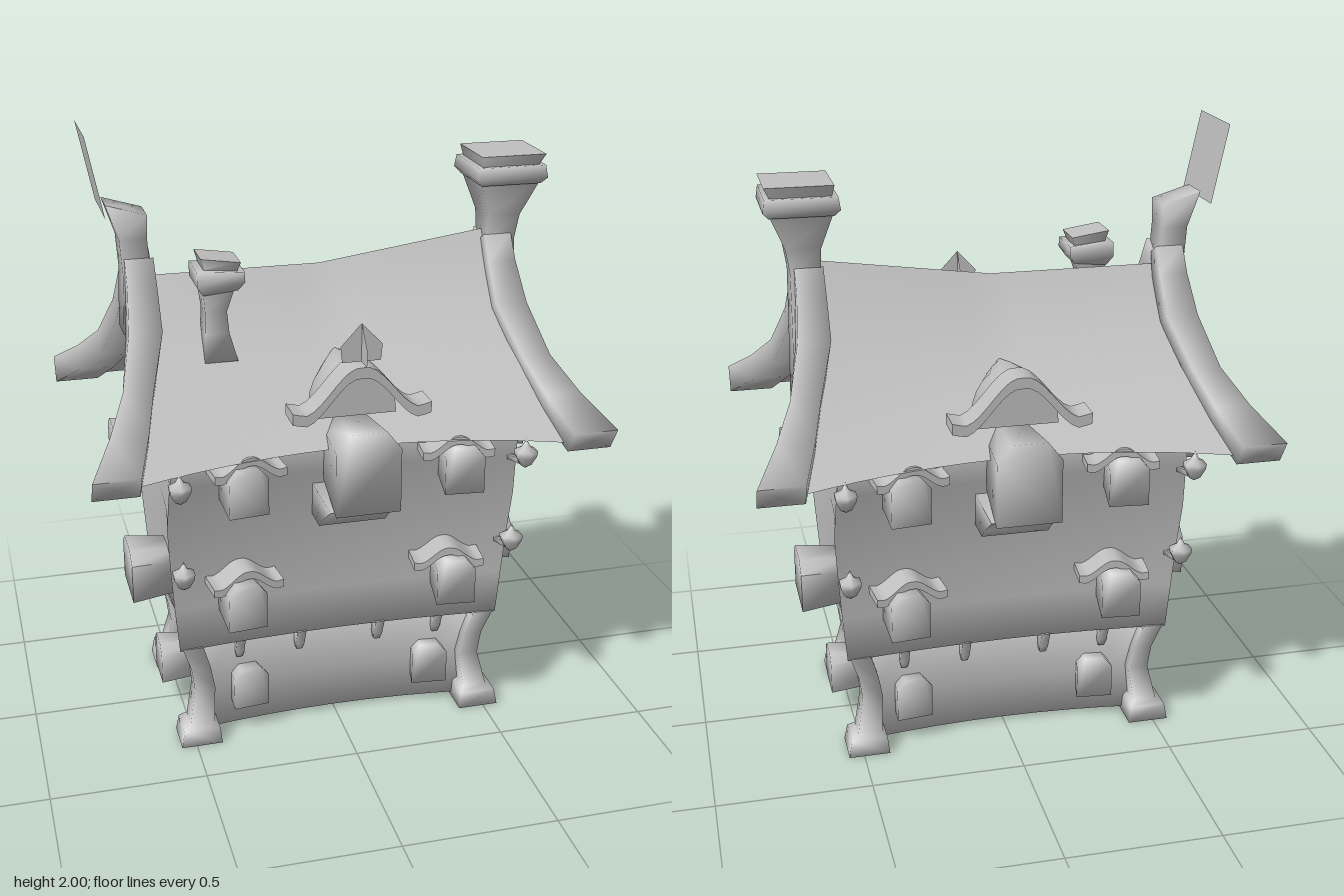
import * as THREE from 'three';
import { toCreasedNormals } from 'three/addons/utils/BufferGeometryUtils.js';

const stone = new THREE.MeshStandardMaterial({ color: 0xbfbfbf, side: THREE.DoubleSide });
stone.name = 'pale grey';

// Skin a list of equal-length rings of [x, y, z]; closed tubes get end caps
function loft(rings, closed = true) {
  const n = rings[0].length, pos = rings.flat(2), idx = [];
  for (let i = 0; i < rings.length - 1; i++)
    for (let j = 0; j < (closed ? n : n - 1); j++) {
      const a = i * n + j, b = i * n + (j + 1) % n;
      idx.push(a, b, b + n, a, b + n, a + n);
    }
  if (closed) [0, rings.length - 1].forEach((r) => {
    const c = pos.length / 3;
    pos.push(...[0, 1, 2].map((k) => rings[r].reduce((s, p) => s + p[k], 0) / n));
    for (let j = 0; j < n; j++) {
      const a = r * n + j, b = r * n + (j + 1) % n;
      idx.push(...(r ? [a, b, c] : [b, a, c]));
    }
  });
  const g = new THREE.BufferGeometry();
  g.setAttribute('position', new THREE.Float32BufferAttribute(pos, 3));
  g.setIndex(idx);
  return g.toNonIndexed();
}

// Stack of rectangles [y, cx, cz, halfX, halfZ, tilt]; bow pulls the sides inward
function stack(levels, bow = 0) {
  const n = bow ? 8 : 1, corners = [[1, 1], [1, -1], [-1, -1], [-1, 1]];
  return loft(levels.map(([y, cx, cz, hx, hz, tilt = 0]) => {
    const ring = [];
    corners.forEach(([x, z], s) => {
      const [x2, z2] = corners[(s + 1) % 4];
      for (let k = 0; k < n; k++) {
        const t = k / n, pull = bow * 4 * t * (1 - t);
        const px = x + (x2 - x) * t, pz = z + (z2 - z) * t;
        const ix = x === x2 ? pull * x : 0, iz = z === z2 ? Math.min(pull, hz * 0.4) * z : 0;
        ring.push([cx + px * hx - ix, y + tilt * px * hx, cz + pz * hz - iz]);
      }
    });
    return ring;
  }));
}

// Bake a mirror image, keeping faces outward
function mirrored(geo, sx, sz) {
  const g = (geo.index ? geo.toNonIndexed() : geo.clone()).scale(sx, 1, sz);
  if (sx * sz < 0) {
    const p = g.attributes.position, a = new THREE.Vector3(), b = new THREE.Vector3();
    for (let i = 0; i < p.count; i += 3) {
      a.fromBufferAttribute(p, i + 1);
      b.fromBufferAttribute(p, i + 2);
      p.setXYZ(i + 1, b.x, b.y, b.z);
      p.setXYZ(i + 2, a.x, a.y, a.z);
    }
  }
  return g;
}

// Arched window block, flaring outward to its front at z = 0
function windowBlock(w, h, d) {
  const s = new THREE.Shape([[-w, 0], [w, 0], [w, 0.78 * h], [0.55 * w, h], [-0.55 * w, h], [-w, 0.78 * h]]
    .map((p) => new THREE.Vector2(...p)));
  const g = new THREE.ExtrudeGeometry(s, { depth: d, bevelEnabled: false }).translate(0, 0, -d);
  const p = g.attributes.position;
  for (let i = 0; i < p.count; i++) if (p.getZ(i) < -d / 2) {
    p.setX(i, p.getX(i) * 0.78);
    p.setY(i, h / 2 + (p.getY(i) - h / 2) * 0.84);
  }
  return g;
}

// Domed hood band with flared tips
function hood(w, h, t, d) {
  const top = [], under = [];
  for (let i = 0; i <= 20; i++) {
    const u = i / 10 - 1, a = Math.abs(u);
    const y = h * (1 - THREE.MathUtils.smoothstep(a, 0.05, 0.85) + 0.4 * Math.max(0, a - 0.8));
    top.push(new THREE.Vector2(u * w, y + t));
    under.unshift(new THREE.Vector2(u * w, y));
  }
  return new THREE.ExtrudeGeometry(new THREE.Shape([...top, ...under]), { depth: d, bevelEnabled: false });
}

export function createModel() {
  const model = new THREE.Group();
  const add = (name, geo, crease = 1.7) => {
    geo.deleteAttribute('uv');
    const m = new THREE.Mesh(toCreasedNormals(geo, crease), stone);
    m.name = name;
    model.add(m);
  };
  const sides = [1, -1];
  const four = (name, geo, shift = 0, crease = 1.7) =>
    sides.forEach((x) => sides.forEach((z) => add(name, mirrored(geo, x, z).translate(shift, 0, 0), crease)));

  // Walls
  add('groundFloor', stack([[0.01, 0, 0, 0.47, 0.24], [0.15, 0, 0, 0.465, 0.235], [0.35, 0, 0, 0.5, 0.26]], 0.035));
  add('upperFloors', stack([[0.345, 0, 0, 0.54, 0.295], [0.5, 0, 0, 0.553, 0.297], [0.65, 0, 0, 0.563, 0.305],
    [0.8, 0, 0, 0.572, 0.325], [0.95, 0, 0, 0.565, 0.355], [1.08, 0, 0, 0.555, 0.39], [1.18, 0, 0, 0.55, 0.28],
    [1.28, 0, 0, 0.545, 0.18], [1.4, 0, 0, 0.545, 0.085], [1.5, 0, 0, 0.545, 0.02]], 0.03));

  // Sweeping roof with a sagging ridge
  const slope = [[0, 0], [0.08, 0.12], [0.17, 0.24], [0.29, 0.385], [0.42, 0.52], [0.6, 0.685], [0.8, 0.85], [1, 1]];
  const profile = [...slope.slice(1).reverse().map(([z, y]) => [-z, y]), ...slope];
  const rings = [];
  for (let i = 0; i <= 16; i++) {
    const u = i / 8 - 1, ridge = 1.53 + (u > 0 ? 0.08 * u : 0), eave = 1.065 - 0.03 * u * u;
    rings.push(profile.map(([z, d]) =>
      [u * (0.575 + 0.11 * d * d), ridge + (eave - ridge) * d, z * (0.43 + 0.07 * u * u)]));
  }
  add('roof', loft(rings, false));

  // Gable beams
  const beam = loft([[0.745, 1.05, 0.535, 0.072, 0.045], [0.685, 1.135, 0.4, 0.058, 0.043], [0.638, 1.225, 0.28, 0.047, 0.042],
    [0.592, 1.38, 0.145, 0.052, 0.045], [0.585, 1.5, 0.065, 0.046, 0.042], [0.585, 1.585, 0.025, 0.045, 0.03]]
    .map(([x, y, z, hx, t], i) => {
      const a = i < 3 ? 0.85 : 0.5, ny = t * a, nz = t * Math.sqrt(1 - a * a);
      return [[x + hx, y + ny, z + nz], [x + hx, y - ny, z - nz], [x - hx, y - ny, z - nz], [x - hx, y + ny, z + nz]];
    }));
  four('gableBeam', beam);

  // Chimneys
  add('largeChimney', stack([[1.13, 0.59, 0, 0.06, 0.068], [1.4, 0.59, 0, 0.055, 0.06], [1.58, 0.595, 0, 0.048, 0.05],
    [1.66, 0.6, 0, 0.055, 0.058], [1.77, 0.605, 0, 0.095, 0.095]]));
  add('largeChimneyCap', stack([[1.77, 0.605, 0, 0.1, 0.1], [1.79, 0.605, 0, 0.118, 0.115], [1.83, 0.605, 0, 0.112, 0.11],
    [1.83, 0.605, 0, 0.095, 0.095], [1.865, 0.61, 0, 0.107, 0.107]]));
  add('smallChimney', stack([[1.29, -0.36, 0.14, 0.052, 0.05], [1.38, -0.37, 0.14, 0.038, 0.04],
    [1.45, -0.372, 0.14, 0.034, 0.038], [1.53, -0.365, 0.14, 0.05, 0.055]]));
  add('smallChimneyCap', stack([[1.515, -0.36, 0.14, 0.055, 0.055, 0.1], [1.545, -0.36, 0.14, 0.074, 0.072, 0.05],
    [1.585, -0.36, 0.14, 0.074, 0.07, -0.05], [1.585, -0.358, 0.14, 0.052, 0.05, -0.1], [1.618, -0.358, 0.14, 0.062, 0.06, -0.15]]));

  // Leaning ridge post and its flag
  add('ridgePost', stack([[1.36, -0.59, 0, 0.053, 0.058], [1.55, -0.593, 0, 0.043, 0.05],
    [1.66, -0.6, 0, 0.043, 0.05], [1.755, -0.618, 0, 0.063, 0.055, -0.3]]));
  add('flag', loft([[[-0.69, 1.75, -0.13], [-0.69, 1.75, 0.13]], [[-0.74, 2, -0.13], [-0.74, 2, 0.13]]], false));

  // Corner posts of the ground floor
  four('cornerPost', stack([[0, 0.482, 0.265, 0.068, 0.062], [0.055, 0.48, 0.265, 0.06, 0.056], [0.07, 0.475, 0.262, 0.04, 0.04],
    [0.18, 0.458, 0.235, 0.034, 0.034], [0.26, 0.47, 0.242, 0.032, 0.032], [0.35, 0.497, 0.262, 0.034, 0.034]]));

  // Little brackets under the overhang
  const bracket = [[0.265, 0, 0, 0.01, 0.01], [0.29, 0, 0, 0.015, 0.02], [0.35, 0, 0.012, 0.015, 0.035]];
  [0.135, 0.34].forEach((x) => four('frontBracket', stack(bracket).translate(x, 0, 0.228), 0.006));
  four('sideBracket', stack(bracket).rotateY(Math.PI / 2).translate(0.475, 0, 0.12));

  // Front and back windows with hoods, turned to follow the bowed walls
  four('groundWindow', windowBlock(0.06, 0.145, 0.12).rotateY(-0.1).translate(0.31, 0.09, 0.275), 0.008);
  [[0.47, 0.43, 0.3], [0.885, 0.475, 0.36]].forEach(([y, z, back]) => {
    four('window', windowBlock(0.063, 0.155, z - back + 0.1).rotateY(-0.1).translate(0.345, y, z - 0.005), 0.006);
    four('windowHood', hood(0.115, 0.05, 0.026, 0.13).rotateY(-0.1).translate(0.345, y + 0.108, back - 0.045), 0.006, 0.8);
  });

  // Side windows
  [[0.1, 0.07, 0.135, 0.57], [0.44, 0.105, 0.17, 0.66], [0.87, 0.105, 0.17, 0.69]].forEach(([y, w, h, x]) =>
    sides.forEach((s) => add('sideWindow', windowBlock(w, h, 0.17).rotateY(s * Math.PI / 2).translate(s * x, y, 0))));

  // Corner lanterns on short arms
  const drop = [[0, -0.048], [0.02, -0.035], [0.036, -0.005], [0.038, 0.012], [0.014, 0.025], [0, 0.052]].map((q) => new THREE.Vector2(...q));
  [[0.538, 0.68, 0.412], [0.55, 1, 0.47]].forEach(([x, y, z]) => {
    four('lantern', new THREE.LatheGeometry(drop, 6).translate(x, y, z));
    four('lanternArm', new THREE.BoxGeometry(0.016, 0.016, 0.12).rotateX(-0.25).translate(x - 0.008, y - 0.042, z - 0.06));
  });

  // Dormers, front and back, with vaulted roofs narrowing into the slope
  const vault = loft([[0.17, 0.03, 1.3], [0.22, 0.075, 1.31], [0.3, 0.12, 1.32], [0.43, 0.125, 1.325]].map(([z, w, top]) =>
    Array.from({ length: 13 }, (_, i) => {
      const a = Math.PI * i / 12;
      return [0.008 + w * Math.cos(a), 1.17 + (top - 1.17) * Math.sin(a), z];
    })));
  sides.forEach((s) => {
    add('dormerWindow', mirrored(windowBlock(0.102, 0.265, 0.24).translate(0.008, 0.9, 0.572), 1, s));
    add('dormerCorbel', mirrored(stack([[0.79, 0.008, 0.335, 0.108, 0.055], [0.83, 0.008, 0.355, 0.108, 0.078],
      [0.905, 0.008, 0.41, 0.112, 0.135]]), 1, s));
    add('dormerRoof', mirrored(vault, 1, s), 0.8);
    add('dormerHood', mirrored(hood(0.217, 0.14, 0.035, 0.095).translate(0.01, 1.17, 0.395), 1, s), 0.8);
  });

  // Crossed thin plates over the front dormer
  const leaf = new THREE.Shape([[-0.06, 0], [0.06, 0], [0.065, 0.05], [0, 0.12], [-0.065, 0.05]].map((q) => new THREE.Vector2(...q)));
  [0, Math.PI / 2].forEach((a) =>
    add('dormerFinial', new THREE.ShapeGeometry(leaf).rotateY(a).translate(0.008, 1.36, 0.475)));
  return model;
}
